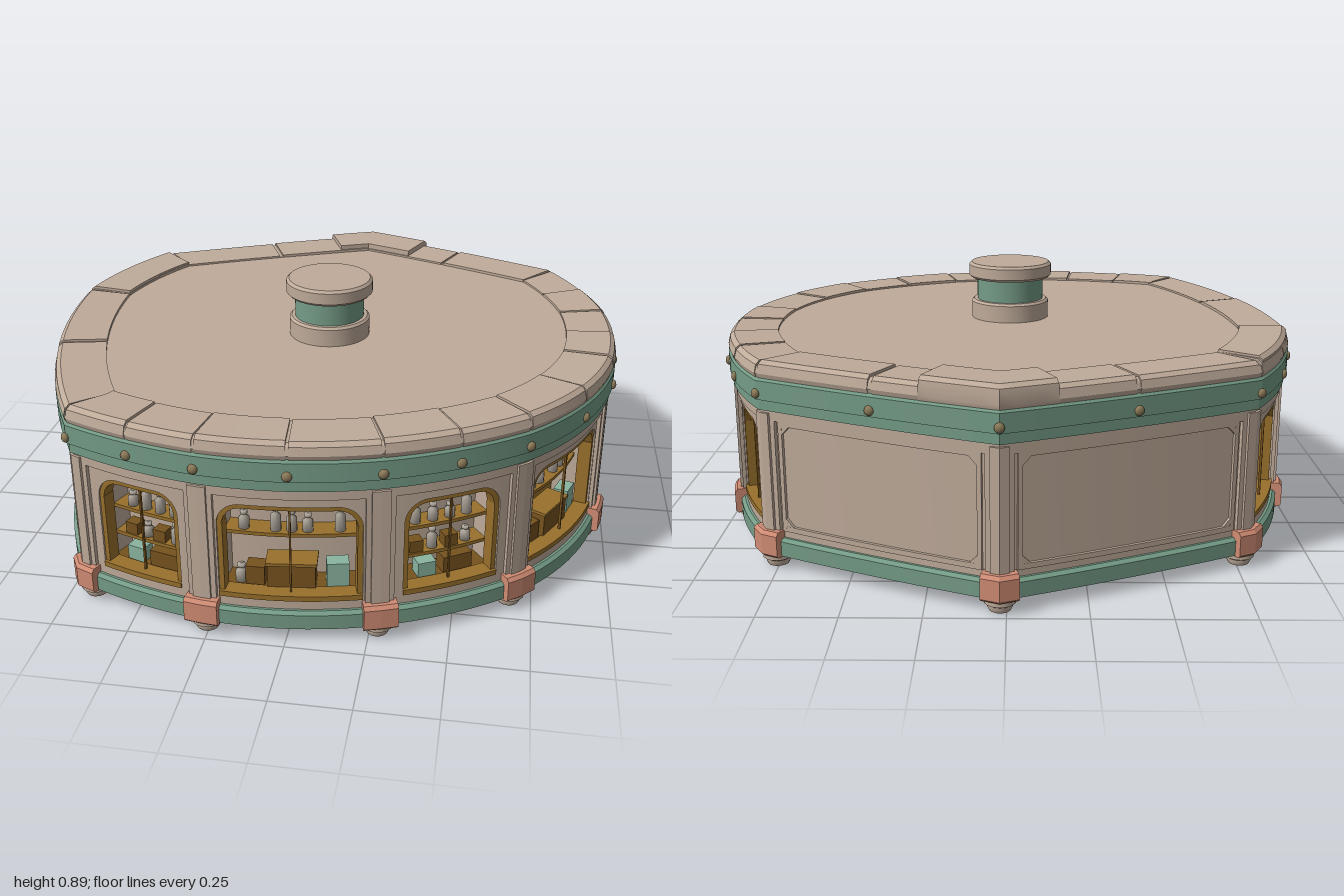
import * as THREE from 'three';
import { toCreasedNormals } from 'three/addons/utils/BufferGeometryUtils.js';

const mat = (name, color) => {
  const m = new THREE.MeshStandardMaterial({ color });
  m.name = name;
  return m;
};

export function createModel() {
  const model = new THREE.Group();
  model.name = 'roundShop';
  const stone = mat('beige stone', 0xbfab9a), green = mat('green trim', 0x759c87), salmon = mat('salmon block', 0xd08c74);
  const gold = mat('golden wood', 0x98702c), wood = mat('brown wood', 0x77531f), jar = mat('grey jar', 0xaba398);
  const mint = mat('mint box', 0x8ab5a0), rivetMat = mat('brass rivet', 0x8c7a58);

  // Pillar positions around the wall: x, z, and how far the next bay bulges out, and its kind
  const bays = [
    [0.02, -0.955, 0.01, 'blank'], [0.77, -0.62, 0.02, 'small'], [0.945, -0.22, 0.018, 'small'],
    [0.95, 0.19, 0.04, 'large'], [0.69, 0.66, 0.02, 'small'], [0.28, 0.89, 0.03, 'large'],
    [-0.26, 0.945, 0.015, 'small'], [-0.68, 0.82, 0.065, 'blank'], [-0.95, -0.14, 0.025, 'small'],
    [-0.775, -0.60, 0.01, 'blank'],
  ];
  const B = bays.length, S = 12, pts = [], lengths = [];
  bays.forEach(([x, z, bulge], i) => {
    const [x2, z2] = bays[(i + 1) % B];
    const L = lengths[i] = Math.hypot(x2 - x, z2 - z);
    for (let k = 0; k < S; k++) {
      const t = k / S, h = 4 * bulge * t * (1 - t);
      pts.push([x + (x2 - x) * t + (z2 - z) / L * h, z + (z2 - z) * t - (x2 - x) / L * h]);
    }
  });
  // Mitred outward normals along the outline
  const N = pts.length;
  const edgeNormal = (i) => {
    const a = pts[(i + N) % N], b = pts[(i + 1) % N], l = Math.hypot(b[0] - a[0], b[1] - a[1]);
    return [(b[1] - a[1]) / l, (a[0] - b[0]) / l];
  };
  const norms = pts.map((_, i) => {
    const a = edgeNormal(i - 1), b = edgeNormal(i), k = 1 + a[0] * b[0] + a[1] * b[1];
    return [(a[0] + b[0]) / k, (a[1] + b[1]) / k];
  });
  // Point on the outline: u = bay number + fraction, d = distance outward
  const at = (u, d) => {
    const s = (((u % B) + B) % B) * S + 1e-7, i = Math.floor(s) % N, j = (i + 1) % N, f = s - Math.floor(s);
    const mix = (arr, c) => arr[i][c] * (1 - f) + arr[j][c] * f;
    const nx = mix(norms, 0), nz = mix(norms, 1);
    return { x: mix(pts, 0) + nx * d, z: mix(pts, 1) + nz * d, turn: Math.atan2(nx, nz) };
  };

  const add = (name, geo, material, parent = model) => {
    const m = new THREE.Mesh(geo, material);
    m.name = name;
    parent.add(m);
    return m;
  };
  const rect = (d0, d1, y0, y1) => [[d0, y0], [d1, y0], [d1, y1], [d0, y1]];

  // Sweep a [d, y] section along the outline from u0 to u1
  function sweep(name, material, u0, u1, n, section, parent = model, ease = false) {
    const rings = [], pos = [];
    for (let k = 0; k <= n; k++) {
      const t = ease ? (1 - Math.cos(Math.PI * k / n)) / 2 : k / n, u = u0 + (u1 - u0) * t;
      const sec = typeof section === 'function' ? section(t) : section;
      rings.push(sec.map(([d, y]) => { const p = at(u, d); return [p.x, y, p.z]; }));
    }
    const m = rings[0].length;
    const tri = (a, b, c) => pos.push(...a, ...b, ...c);
    for (let k = 0; k < n; k++) for (let i = 0; i < m; i++) {
      const j = (i + 1) % m, a = rings[k], b = rings[k + 1];
      tri(a[i], a[j], b[j]);
      tri(a[i], b[j], b[i]);
    }
    if (u1 - u0 < B) for (let i = 1; i < m - 1; i++) {
      tri(rings[n][0], rings[n][i], rings[n][i + 1]);
      tri(rings[0][0], rings[0][i + 1], rings[0][i]);
    }
    const g = new THREE.BufferGeometry();
    g.setAttribute('position', new THREE.Float32BufferAttribute(pos, 3));
    return add(name, toCreasedNormals(g, 0.5), material, parent);
  }
  const ring = (name, material, section) => sweep(name, material, 0, B, N, section);
  const place = (mesh, u, d, y) => {
    const p = at(u, d);
    mesh.position.set(p.x, y, p.z);
    mesh.rotation.y = p.turn;
    return mesh;
  };
  const slab = (name, d, y, up) => {
    const outline = Array.from({ length: N }, (_, i) => {
      const p = at(i / S, d);
      return new THREE.Vector2(p.x, up ? -p.z : p.z);
    });
    const g = new THREE.ShapeGeometry(new THREE.Shape(outline));
    g.rotateX(up ? -Math.PI / 2 : Math.PI / 2);
    add(name, g, stone).position.y = y;
  };

  // Floor, base band, cornice, frieze and roof
  slab('underside', 0.005, 0.045, false);
  ring('baseBand', green, [[-0.14, 0.045], [0.02, 0.045], [0.02, 0.095], [0.008, 0.105], [-0.14, 0.105]]);
  ring('cornice', stone, rect(-0.14, 0.012, 0.5, 0.54));
  ring('lowerFrieze', green, rect(-0.05, 0.022, 0.535, 0.58));
  ring('upperFrieze', green, [[-0.05, 0.57], [0.03, 0.57], [0.03, 0.632], [0.02, 0.645], [-0.05, 0.645]]);
  slab('roofDeck', -0.08, 0.682, true);
  const rimSection = (top) => [[-0.14, 0.64], [0.022, 0.64], [0.027, 0.655], [0.02, top - 0.012], [0.005, top], [-0.14, top - 0.004]];
  ring('roofRimCore', stone, rimSection(0.688));
  for (let i = 0; i < B; i++) for (let k = 0; k < 2; k++) {
    const top = 0.693 + 0.003 * ((i * 2 + k) % 2);
    sweep('rimStone', stone, i + k / 2 + 0.008, i + k / 2 + 0.492, 6, rimSection(top).map(([d, y]) => [d + (d > 0 ? 0.002 : -0.002), y]));
  }
  sweep('leftRimSlab', stone, 8.03, 8.97, 10, rimSection(0.703));
  sweep('rearRimSlab', stone, 9.8, 10.3, 10, rimSection(0.714).map(([d, y]) => [d + 0.004, y]));

  // Roof vent
  const vent = new THREE.Group();
  vent.name = 'roofVent';
  vent.position.set(0, 0, 0.1);
  model.add(vent);
  const drum = (name, m, r, y0, y1, bevel) => add(name, toCreasedNormals(new THREE.LatheGeometry(
    [[0, y0], [r - bevel, y0], [r, y0 + bevel], [r, y1 - bevel], [r - bevel, y1], [0, y1]].map((p) => new THREE.Vector2(...p)), 40), 0.6), m, vent);
  drum('ventBase', stone, 0.14, 0.67, 0.75, 0.008);
  drum('ventNeck', green, 0.12, 0.74, 0.84, 0.004);
  drum('ventCap', stone, 0.15, 0.83, 0.886, 0.009);

  // Goods on the shelves
  const jarGeo = new THREE.LatheGeometry([[0, 0], [0.019, 0], [0.019, 0.036], [0.009, 0.043], [0.009, 0.05],
    [0.013, 0.05], [0.013, 0.06], [0, 0.06]].map((p) => new THREE.Vector2(...p)), 10);
  const crate = (name, m, g, u, d, y, w, h, dep) => place(add(name, new THREE.BoxGeometry(w, h, dep), m, g), u, d, y + h / 2);

  function windowBay(i, large, g) {
    const L = lengths[i], margin = large ? 0.05 : 0.075, a = i + margin / L, b = i + 1 - margin / L;
    const W = L - 2 * margin, r = 0.075, f = 0.016, sill = 0.14, top = 0.468;
    const arch = (x, rad, peak) => {
      const e = Math.max(0, Math.min(x, W - x));
      return e >= rad ? peak : peak - rad + Math.sqrt(Math.max(0, rad * rad - (rad - e) ** 2));
    };
    const outer = (t) => arch(t * W, r, top);
    const inner = (t) => {
      const x = Math.min(t * W, W - t * W) - f;
      return x <= 0 ? top - r : Math.min(arch(x + f, r, top), top - r + Math.sqrt(Math.max(0, (r - f) ** 2 - Math.max(0, r - f - x) ** 2)));
    };
    // Wall around the opening
    sweep('wallBelow', stone, i, i + 1, 12, rect(-0.14, 0, 0.1, sill), g);
    sweep('wallSide', stone, i, a, 2, rect(-0.14, 0, sill, 0.51), g);
    sweep('wallSide', stone, b, i + 1, 2, rect(-0.14, 0, sill, 0.51), g);
    sweep('wallAbove', stone, a, b, 24, (t) => rect(-0.14, 0, outer(t), 0.51), g, true);
    // Golden frame and sill
    const fu = f / L;
    sweep('frameArch', gold, a, b, 28, (t) => rect(-0.05, -0.006, inner(t), outer(t) + 0.001), g, true);
    sweep('frameSide', gold, a, a + fu, 1, rect(-0.05, -0.006, sill, top - r), g);
    sweep('frameSide', gold, b - fu, b, 1, rect(-0.05, -0.006, sill, top - r), g);
    sweep('frameSill', gold, a, b, 10, rect(-0.05, 0.004, sill - 0.004, sill + 0.014), g);
    crate('mullion', wood, g, i + 0.5, -0.025, sill, 0.006, top - sill, 0.008);
    // Display back, floor and shelves
    sweep('displayBack', i >= 4 && i <= 6 ? stone : gold, a, b, 10, rect(-0.15, -0.135, 0.1, 0.5), g);
    sweep('displayFloor', wood, a, b, 10, rect(-0.135, -0.05, 0.14, 0.15), g);
    const at2 = (x) => i + 0.5 + x / L;
    const shelves = large ? [0.335] : [0.235, 0.335];
    shelves.forEach((y, s) => {
      sweep('shelf', gold, a, b, 10, rect(-0.135, -0.065, y - 0.012, y), g);
      const count = large ? 7 : 4;
      for (let k = 0; k < count; k++) {
        const x = ((k + 0.5) / count - 0.5) * (W - 0.07), seed = (i * 7 + k * 5 + s * 3) % 4;
        if (s === 0 && !large && k % 2) { crate('shelfBox', wood, g, at2(x), -0.09, y, 0.045, 0.04, 0.04); continue; }
        if (seed === 0 && large) continue;
        place(add('jar', jarGeo, jar, g), at2(x), -0.09, y).scale.set(0.9, 0.8 + 0.2 * seed, 0.9);
      }
    });
    if (large) {
      crate('mintBox', mint, g, at2(-0.15), -0.075, 0.15, 0.07, 0.085, 0.05);
      crate('counter', wood, g, at2(0), -0.08, 0.15, 0.15, 0.085, 0.07);
      crate('counterTop', gold, g, at2(0), -0.08, 0.232, 0.16, 0.01, 0.08);
      crate('smallCrate', wood, g, at2(0.12), -0.08, 0.15, 0.06, 0.065, 0.05);
      place(add('jar', jarGeo, jar, g), at2(0.17), -0.075, 0.15);
    } else {
      crate('crate', wood, g, at2(-0.05), -0.08, 0.15, 0.1, 0.055, 0.05);
      crate('mintBox', mint, g, at2(0.06), -0.08, 0.15, 0.06, 0.05, 0.05);
    }
  }

  // Solid wall with a raised border
  function blankBay(i, g) {
    const m = 0.055 / lengths[i], w = 0.014 / lengths[i], a = i + m, b = i + 1 - m;
    sweep('solidWall', stone, i, i + 1, 12, rect(-0.14, 0, 0.1, 0.51), g);
    sweep('borderTop', stone, a, b, 12, rect(-0.005, 0.01, 0.486, 0.505), g);
    sweep('borderBottom', stone, a, b, 12, rect(-0.005, 0.01, 0.13, 0.148), g);
    for (const u of [a, b - w]) sweep('borderSide', stone, u, u + w, 1, rect(-0.005, 0.01, 0.135, 0.5), g);
    for (const [u, v, s] of [[a + w, a + 3 * w, 1], [b - 3 * w, b - w, -1]]) {
      const k = (t) => 0.028 * (s > 0 ? 1 - t : t);
      sweep('borderCorner', stone, u, v, 2, (t) => rect(-0.005, 0.0095, 0.487 - k(t), 0.488), g);
      sweep('borderCorner', stone, u, v, 2, (t) => rect(-0.005, 0.0095, 0.146, 0.147 + k(t)), g);
    }
  }

  const footGeo = toCreasedNormals(new THREE.LatheGeometry([[0, 0], [0.034, 0], [0.04, 0.012], [0.04, 0.02], [0.05, 0.026],
    [0.05, 0.05], [0, 0.05]].map((p) => new THREE.Vector2(...p)), 16), 0.6);
  const rivetGeo = new THREE.SphereGeometry(0.016, 12, 8);
  rivetGeo.scale(1, 1, 0.7);

  bays.forEach(([, , , kind], i) => {
    const g = new THREE.Group();
    g.name = kind === 'blank' ? 'solidBay' : 'windowBay';
    model.add(g);
    if (kind === 'blank') blankBay(i, g);
    else windowBay(i, kind === 'large', g);
    // Pillar, its block and foot; the section straddles two bays
    const straddle = (name, m, half, section) => {
      sweep(name, m, i - half / lengths[(i + B - 1) % B], i, 2, section);
      sweep(name, m, i, i + half / lengths[i], 2, section);
    };
    straddle('pillar', stone, 0.044, rect(-0.1, 0.012, 0.1, 0.52));
    straddle('pillarFace', stone, 0.028, rect(-0.02, 0.02, 0.1, 0.525));
    straddle('pillarBlock', salmon, 0.052, [[-0.02, 0.042], [0.034, 0.042], [0.042, 0.05], [0.042, 0.118], [0.032, 0.13], [-0.02, 0.13]]);
    place(add('foot', footGeo, stone), i, -0.02, 0);
    for (const u of [i, i + 0.5]) place(add('rivet', rivetGeo, rivetMat), u, 0.032, 0.59);
  });
  return model;
}
